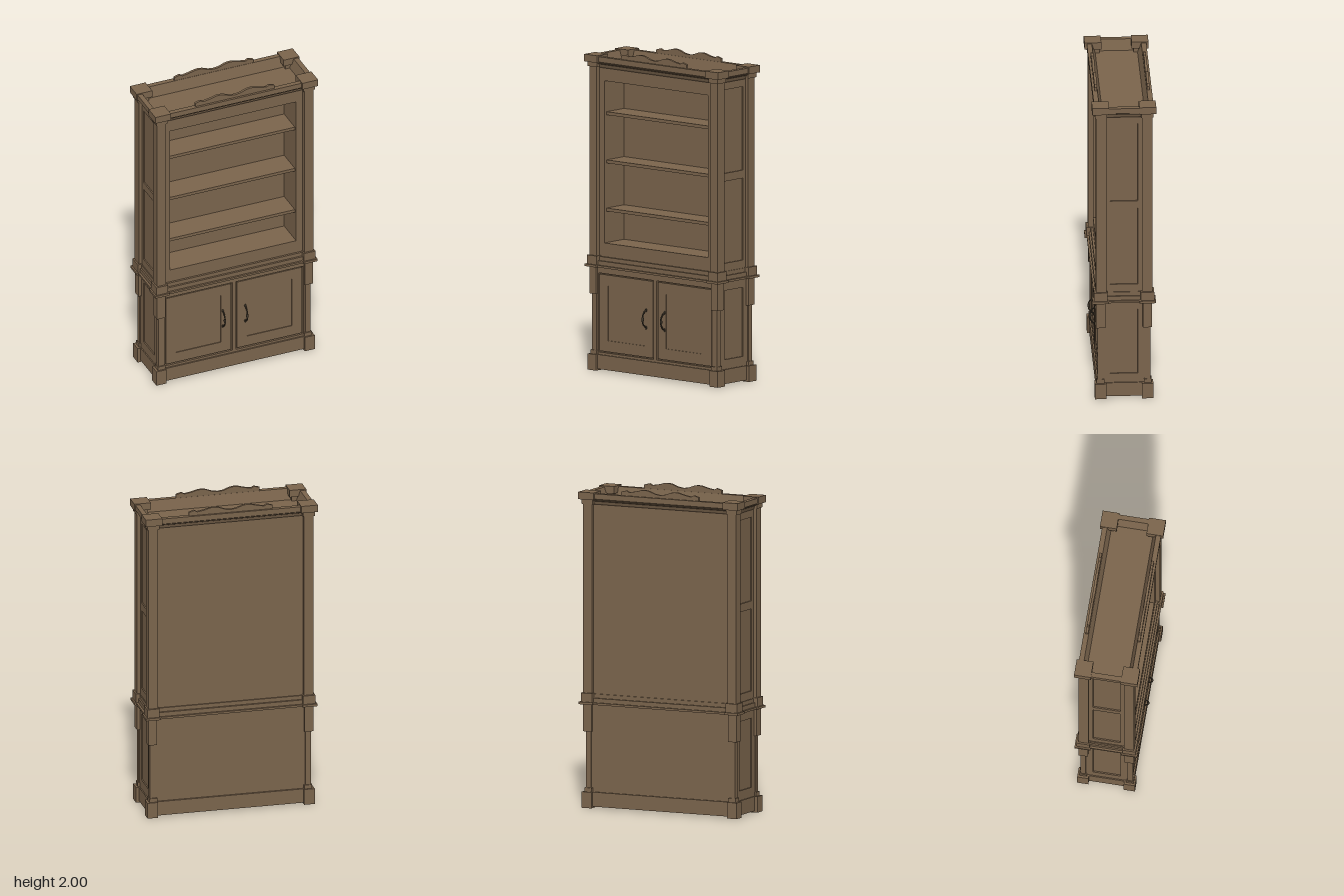
import * as THREE from 'three';

const wood = new THREE.MeshStandardMaterial({ color: 0x7a644c });
const metal = new THREE.MeshStandardMaterial({ color: 0x3f372b });

function add(parent, geometry, name, material = wood) {
  const mesh = new THREE.Mesh(geometry, material);
  mesh.name = name;
  parent.add(mesh);
  return mesh;
}

// box given by its limits
function box(parent, name, x0, x1, y0, y1, z0, z1) {
  const m = add(parent, new THREE.BoxGeometry(x1 - x0, y1 - y0, z1 - z0), name);
  m.position.set((x0 + x1) / 2, (y0 + y1) / 2, (z0 + z1) / 2);
  return m;
}

// flat frame: outer rectangle with rectangular holes, each [x0, x1, y0, y1]
function frameGeometry(outer, holes, depth) {
  const trace = (p, [x0, x1, y0, y1]) =>
    p.moveTo(x0, y0).lineTo(x1, y0).lineTo(x1, y1).lineTo(x0, y1).closePath();
  const shape = trace(new THREE.Shape(), outer);
  shape.holes = holes.map(h => trace(new THREE.Path(), h));
  return new THREE.ExtrudeGeometry(shape, { depth, bevelEnabled: false });
}

// moulding of profile [outward, y], running along x, centred
function moulding(parent, name, profile, length) {
  const shape = new THREE.Shape(profile.map(p => new THREE.Vector2(...p)));
  const g = new THREE.ExtrudeGeometry(shape, { depth: length, bevelEnabled: false });
  g.translate(0, 0, -length / 2);
  g.rotateY(-Math.PI / 2);
  return add(parent, g, name);
}

export function createModel() {
  const model = new THREE.Group();
  model.name = 'bookcase';

  // upper case: deep front block with the shelf opening, closed at the back
  const upper = new THREE.Group();
  upper.name = 'upperCase';
  model.add(upper);
  add(upper, frameGeometry([-0.495, 0.495, 0.69, 1.89], [[-0.425, 0.42, 0.795, 1.805]], 0.185),
    'shelfSurround').position.z = -0.04;
  box(upper, 'backBoard', -0.495, 0.495, 0.69, 1.89, -0.15, -0.04);
  for (const y of [0.99, 1.29, 1.59]) box(upper, 'shelf', -0.425, 0.42, y, y + 0.02, -0.04, 0.125);

  // lower case and plinth
  const lower = new THREE.Group();
  lower.name = 'lowerCase';
  model.add(lower);
  box(lower, 'cabinetBody', -0.495, 0.495, 0.08, 0.65, -0.155, 0.14);
  box(lower, 'plinth', -0.51, 0.51, 0.01, 0.1, -0.167, 0.167);
  add(lower, frameGeometry([-0.48, 0.48, 0.1, 0.645],
    [[-0.463, -0.013, 0.115, 0.607], [0.013, 0.463, 0.115, 0.607]], 0.018),
    'faceFrame').position.z = 0.14;

  // waist mouldings between the cases
  box(lower, 'waistLedge', -0.53, 0.53, 0.645, 0.658, -0.182, 0.182);
  box(lower, 'waistBand', -0.517, 0.517, 0.658, 0.685, -0.17, 0.17);
  box(lower, 'waistFillet', -0.508, 0.508, 0.685, 0.71, -0.158, 0.158);

  // side panelling
  for (const s of [-1, 1]) {
    const frames = new THREE.Group();
    frames.name = 'sidePanelling';
    add(frames, frameGeometry([-0.12, 0.12, 0.71, 1.89],
      [[-0.085, 0.085, 0.76, 1.27], [-0.085, 0.085, 1.32, 1.84]], 0.008), 'upperSideFrame');
    add(frames, frameGeometry([-0.135, 0.135, 0.1, 0.645],
      [[-0.085, 0.085, 0.16, 0.59]], 0.008), 'lowerSideFrame');
    frames.rotation.y = s * Math.PI / 2;
    frames.position.x = s * 0.495;
    model.add(frames);
  }

  // doors with raised fields and bow handles
  for (const s of [-1, 1]) {
    const door = new THREE.Group();
    door.name = s > 0 ? 'leftDoor' : 'rightDoor';
    door.position.set(s * 0.238, 0.361, 0.14);
    model.add(door);
    add(door, frameGeometry([-0.218, 0.218, -0.239, 0.239],
      [[-0.15, 0.15, -0.17, 0.17]], 0.015), 'doorFrame');
    box(door, 'doorPanel', -0.15, 0.15, -0.17, 0.17, 0, 0.01);
    const hx = -s * 0.163;
    const bow = new THREE.CatmullRomCurve3([[-0.055, 0.012], [-0.042, 0.035], [-0.018, 0.049],
      [0.018, 0.049], [0.042, 0.035], [0.055, 0.012]].map(([y, z]) => new THREE.Vector3(hx, y, z)));
    add(door, new THREE.TubeGeometry(bow, 24, 0.0045, 8), 'handleBow', metal);
    const grip = add(door, new THREE.SphereGeometry(0.008, 12, 8), 'handleGrip', metal);
    grip.scale.y = 2.4;
    grip.position.set(hx, 0, 0.048);
    for (const y of [-0.055, 0.055]) {
      const plate = add(door, new THREE.SphereGeometry(0.008, 12, 8), 'handlePlate', metal);
      plate.scale.set(0.9, 1.4, 0.6);
      plate.position.set(hx, y, 0.016);
    }
  }

  // corner posts: [name, x inner, x outer, y0, y1, z inner, z outer]
  const cornerParts = [
    ['foot', 0.463, 0.53, 0, 0.1, 0.11, 0.18],
    ['footCap', 0.466, 0.516, 0.1, 0.125, 0.122, 0.17],
    ['lowerPilaster', 0.475, 0.51, 0.125, 0.5, 0.13, 0.163],
    ['bracket', 0.468, 0.523, 0.475, 0.645, 0.115, 0.172],
    ['ledgeCorner', 0.45, 0.543, 0.645, 0.66, 0.095, 0.195],
    ['postBase', 0.455, 0.533, 0.66, 0.715, 0.102, 0.185],
    ['post', 0.463, 0.523, 0.715, 1.89, 0.11, 0.173],
    ['postCapital', 0.456, 0.53, 1.89, 1.92, 0.105, 0.18],
    ['corniceBlock', 0.44, 0.545, 1.92, 1.965, 0.093, 0.197],
  ];
  for (const sx of [-1, 1]) for (const sz of [-1, 1]) {
    const corner = new THREE.Group();
    corner.name = 'cornerPost';
    model.add(corner);
    for (const [name, xi, xo, y0, y1, zi, zo] of cornerParts) {
      const [x0, x1] = sx > 0 ? [xi, xo] : [-xo, -xi];
      const [z0, z1] = sz > 0 ? [zi, zo] : [-zo, -zi];
      box(corner, name, x0, x1, y0, y1, z0, z1);
    }
  }

  // crown moulding around the open top
  const crown = [[-0.015, 1.885], [0, 1.885], [0.006, 1.892], [0.012, 1.908], [0.026, 1.914],
    [0.028, 1.92], [0.035, 1.925], [0.035, 1.958], [0.004, 1.958], [-0.018, 1.89]];
  for (const s of [-1, 1]) {
    const run = new THREE.Group();
    run.name = 'crownRun';
    const turn = s > 0 ? 0 : Math.PI;
    const long = moulding(run, 'longCrown', crown, 0.94);
    long.rotation.y = turn;
    long.position.z = s * 0.148;
    const short = moulding(run, 'sideCrown', crown, 0.24);
    short.rotation.y = s * Math.PI / 2;
    short.position.x = s * 0.503;
    model.add(run);
  }

  // scrolled crests on the front and back crown
  const half = [[0.265, 1.98], [0.23, 1.99], [0.212, 1.98], [0.17, 1.987], [0.125, 1.999],
    [0.1, 2], [0.075, 1.996], [0.035, 1.981], [0, 1.976]];
  const outline = [[0.265, 1.956], ...half,
    ...half.slice(0, -1).reverse().map(([x, y]) => [-x, y]), [-0.265, 1.956]];
  const crestShape = new THREE.Shape(outline.map(p => new THREE.Vector2(...p)));
  for (const z of [0.153, -0.17]) {
    add(model, new THREE.ExtrudeGeometry(crestShape, { depth: 0.016, bevelEnabled: false }), 'crest')
      .position.z = z;
  }
  return model;
}
